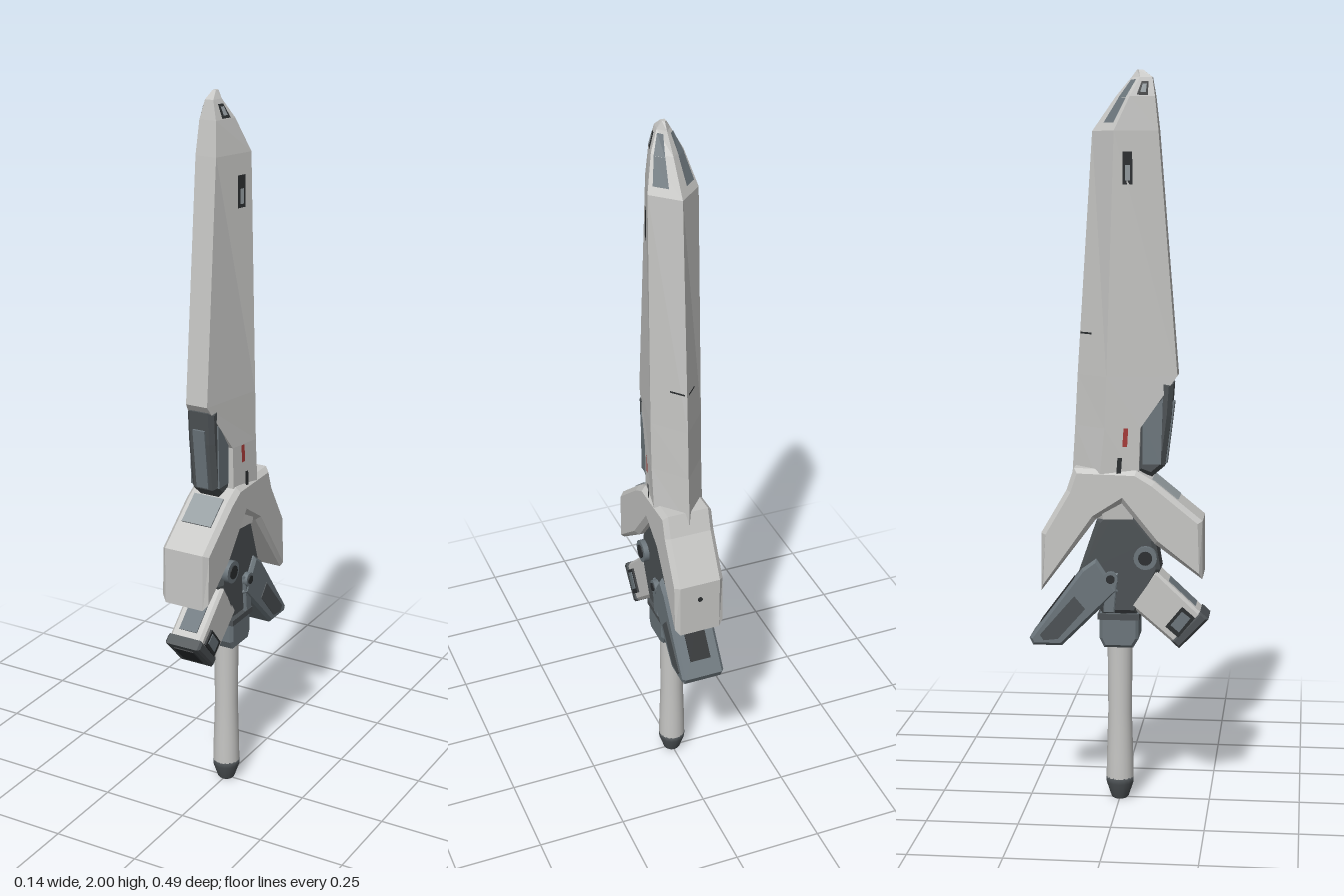
import * as THREE from 'three';

const mat = (name, color, extra = {}) => {
  const m = new THREE.MeshStandardMaterial({ color, ...extra });
  m.name = name;
  return m;
};

// Blade stations: y, ridge z, half width, crease z, front half width, front z
const STATIONS = [
  [0.80, -0.10, 0.060, -0.04, 0.050, 0.04],
  [0.90, -0.132, 0.070, -0.05, 0.055, 0.055],
  [1.05, -0.123, 0.072, -0.035, 0.054, 0.06],
  [1.19, -0.116, 0.072, -0.03, 0.032, 0.158],
  [1.84, -0.075, 0.068, -0.01, 0.030, 0.105],
  [1.93, -0.012, 0.043, 0.03, 0.024, 0.095],
  [1.98, 0.030, 0.018, 0.055, 0.012, 0.087],
  [2.00, 0.045, 0.006, 0.05, 0.005, 0.062],
];

// Five-sided section, clockwise seen from above
const section = ([y, zb, w, zc, f, zf]) =>
  [[0, zb], [w, zc], [f, zf], [-f, zf], [-w, zc]].map(([x, z]) => new THREE.Vector3(x, y, z));

function loft(rings) {
  const pos = [];
  const tri = (...p) => p.forEach((v) => pos.push(v.x, v.y, v.z));
  const n = rings[0].length;
  for (let r = 0; r + 1 < rings.length; r++) {
    for (let i = 0; i < n; i++) {
      const a = rings[r][i], b = rings[r][(i + 1) % n];
      const d = rings[r + 1][i], c = rings[r + 1][(i + 1) % n];
      tri(a, d, c);
      tri(a, c, b);
    }
  }
  const lo = rings[0], hi = rings[rings.length - 1];
  for (let i = 1; i + 1 < n; i++) {
    tri(lo[0], lo[i], lo[i + 1]);
    tri(hi[0], hi[i + 1], hi[i]);
  }
  const g = new THREE.BufferGeometry();
  g.setAttribute('position', new THREE.Float32BufferAttribute(pos, 3));
  g.computeVertexNormals();
  return g;
}

// Point on the blade skin: face 0 is the back chamfer, face 1 the flat side
function skin(face, u, y) {
  let k = 0;
  while (k < STATIONS.length - 2 && STATIONS[k + 1][0] < y) k++;
  const A = STATIONS[k], B = STATIONS[k + 1];
  const t = (y - A[0]) / (B[0] - A[0]);
  const s = section(A.map((v, i) => v + (B[i] - v) * t));
  return s[face].clone().lerp(s[face + 1], u);
}

// Thin painted face following the skin
function skinPlate(face, u0, u1, y0, y1, side, lift = 0.003) {
  const p = [skin(face, u0, y0), skin(face, u1, y0), skin(face, u1, y1), skin(face, u0, y1)];
  const nrm = p[3].clone().sub(p[0]).cross(p[1].clone().sub(p[0])).normalize();
  const pos = [];
  const order = side > 0 ? [0, 3, 2, 0, 2, 1] : [0, 2, 3, 0, 1, 2];
  for (const i of order) {
    const v = p[i].clone().addScaledVector(nrm, lift);
    pos.push(v.x * side, v.y, v.z);
  }
  const g = new THREE.BufferGeometry();
  g.setAttribute('position', new THREE.Float32BufferAttribute(pos, 3));
  g.computeVertexNormals();
  return g;
}

// Side profile given as (z, y), extruded across x
function profile(points, width, bevel = 0.01) {
  const shape = new THREE.Shape(points.map(([z, y]) => new THREE.Vector2(z, y)));
  const depth = width - 2 * bevel;
  const g = new THREE.ExtrudeGeometry(shape, {
    depth, bevelEnabled: bevel > 0, bevelThickness: bevel, bevelSize: bevel, bevelOffset: -bevel, bevelSegments: 1,
  });
  return g.translate(0, 0, -depth / 2).rotateY(-Math.PI / 2);
}

export function createModel() {
  const root = new THREE.Group();
  const light = mat('light grey', 0xc6c6c4);
  const steel = mat('blue grey', 0x6b757b);
  const dark = mat('dark grey', 0x4c5154);
  const black = mat('slot black', 0x2b2e30, { side: THREE.DoubleSide });
  const panel = mat('panel grey', 0x949ca0, { side: THREE.DoubleSide });
  const red = mat('red', 0xa83a38, { side: THREE.DoubleSide });
  const add = (name, geo, material, parent = root) => {
    const m = new THREE.Mesh(geo, material);
    m.name = name;
    parent.add(m);
    return m;
  };

  // Blade and its surface details
  add('blade', loft(STATIONS.map(section)), light);
  for (const s of [1, -1]) {
    add('tipInset', skinPlate(0, 0.35, 0.85, 1.86, 1.925, s), steel);
    add('tipInsetUpper', skinPlate(0, 0.35, 0.85, 1.925, 1.972, s, 0.004), steel);
    add('tipPortRim', skinPlate(1, 0.25, 0.7, 1.932, 1.968, s), black);
    add('tipPort', skinPlate(1, 0.36, 0.6, 1.939, 1.961, s, 0.005), panel);
    add('sideSlotRim', skinPlate(1, 0.2, 0.4, 1.70, 1.785, s), black);
    add('sideSlot', skinPlate(1, 0.25, 0.35, 1.71, 1.75, s, 0.005), panel);
    add('redMark', skinPlate(1, 0.53, 0.66, 1.0, 1.05, s), red);
    add('lowerSlot', skinPlate(1, 0.42, 0.54, 0.91, 0.97, s, 0.004), black);
    add('panelLine', skinPlate(0, 0.05, 0.45, 1.3, 1.305, s), black);
  }

  // Dark pod in the front notch
  add('frontPod', profile([[0.05, 0.93], [0.055, 1.1], [0.10, 1.19], [0.148, 1.17], [0.142, 1.08],
    [0.125, 0.945], [0.09, 0.915]], 0.08, 0.012), dark);
  const slot = add('podSlot', new THREE.BoxGeometry(0.036, 0.17, 0.008), steel);
  slot.position.set(0, 1.035, 0.136);
  slot.rotation.x = 0.12;
  for (const s of [1, -1]) {
    const cheek = add('podCheek', profile([[0.065, 0.95], [0.065, 1.07], [0.12, 1.13], [0.115, 0.95]], 0.008, 0), steel);
    cheek.position.x = s * 0.04;
  }

  // Swept guard
  add('guard', profile([[0.05, 0.935], [0.10, 0.905], [0.23, 0.80], [0.23, 0.64], [0.10, 0.735], [0.01, 0.845],
    [-0.06, 0.80], [-0.21, 0.60], [-0.21, 0.76], [-0.14, 0.88], [-0.12, 0.94]], 0.142, 0.013), light);
  const patch = add('guardPatch', new THREE.BoxGeometry(0.09, 0.006, 0.09), panel);
  patch.position.set(0, 0.884, 0.128);
  patch.rotation.x = 0.68;
  const dot = add('guardRivet', new THREE.CylinderGeometry(0.007, 0.007, 0.006, 10).rotateX(Math.PI / 2), black);
  dot.position.set(0, 0.71, -0.21);

  // Hub with pivots
  add('hub', profile([[0.02, 0.84], [0.10, 0.745], [0.115, 0.66], [0.05, 0.535], [-0.045, 0.535],
    [-0.11, 0.65], [-0.06, 0.795], [-0.01, 0.84]], 0.1, 0.012), dark);
  for (const s of [1, -1]) {
    for (const [y, z, r] of [[0.695, 0.075, 0.032], [0.635, -0.02, 0.02]]) {
      const pivot = add('pivot', new THREE.CylinderGeometry(r, r, 0.02, 16).rotateZ(Math.PI / 2), steel);
      pivot.position.set(s * 0.055, y, z);
      const bore = add('pivotBore', new THREE.CylinderGeometry(r * 0.6, r * 0.6, 0.004, 16).rotateZ(Math.PI / 2), black);
      bore.position.set(s * 0.066, y, z);
    }
    const brace = add('hubBrace', profile([[-0.01, 0.54], [0.0, 0.65], [-0.035, 0.65], [-0.04, 0.54]], 0.014, 0.003), steel);
    brace.position.x = s * 0.052;
  }

  // Front lower arm with windowed sides and open end
  add('frontArm', profile([[0.245, 0.525], [0.165, 0.445], [0.03, 0.56], [0.10, 0.66]], 0.1, 0.008), light);
  add('frontArmCap', profile([[0.247, 0.527], [0.167, 0.443], [0.145, 0.463], [0.225, 0.547]], 0.108, 0.006), dark);
  for (const s of [1, -1]) {
    const rim = add('armWindowRim', profile([[0.21, 0.53], [0.165, 0.475], [0.13, 0.505], [0.175, 0.56]], 0.008, 0), black);
    rim.position.x = s * 0.052;
    const pane = add('armWindow', profile([[0.198, 0.53], [0.167, 0.49], [0.144, 0.51], [0.175, 0.548]], 0.008, 0), steel);
    pane.position.x = s * 0.054;
  }
  const mouth = add('frontArmMouth', new THREE.BoxGeometry(0.06, 0.075, 0.006), black);
  mouth.position.set(0, 0.485, 0.207);
  mouth.rotation.x = 0.76;
  const topSlot = add('frontArmSlot', new THREE.BoxGeometry(0.055, 0.006, 0.1), steel);
  topSlot.position.set(0, 0.592, 0.173);
  topSlot.rotation.x = 0.75;

  // Rear lower arm
  add('rearArm', profile([[-0.245, 0.465], [-0.235, 0.445], [-0.155, 0.445], [0.0, 0.60], [-0.06, 0.69],
    [-0.10, 0.66]], 0.124, 0.008), steel);
  for (const s of [1, -1]) {
    const inset = add('rearArmInset', profile([[-0.215, 0.475], [-0.205, 0.46], [-0.165, 0.465], [-0.09, 0.55],
      [-0.12, 0.585]], 0.006, 0), dark);
    inset.position.x = s * 0.061;
  }
  const rearSlot = add('rearArmSlot', new THREE.BoxGeometry(0.06, 0.006, 0.15), black);
  rearSlot.position.set(0, 0.562, -0.172);
  rearSlot.rotation.x = -0.93;

  // Collar, grip and pommel
  add('collar', profile([[0.055, 0.535], [0.055, 0.465], [0.04, 0.44], [-0.04, 0.44], [-0.052, 0.465],
    [-0.052, 0.535]], 0.1, 0.008), steel);
  add('collarBand', new THREE.BoxGeometry(0.106, 0.016, 0.114), dark).position.y = 0.527;
  const grip = [[0.038, 0.06], [0.037, 0.12], [0.033, 0.25], [0.035, 0.45]].map(([r, y]) => new THREE.Vector2(r, y));
  add('grip', new THREE.LatheGeometry(grip, 20), light);
  const pommel = [[0, 0], [0.02, 0], [0.024, 0.004], [0.038, 0.045], [0.038, 0.062], [0, 0.062]]
    .map(([r, y]) => new THREE.Vector2(r, y));
  add('pommel', new THREE.LatheGeometry(pommel, 16), dark);

  return root;
}
